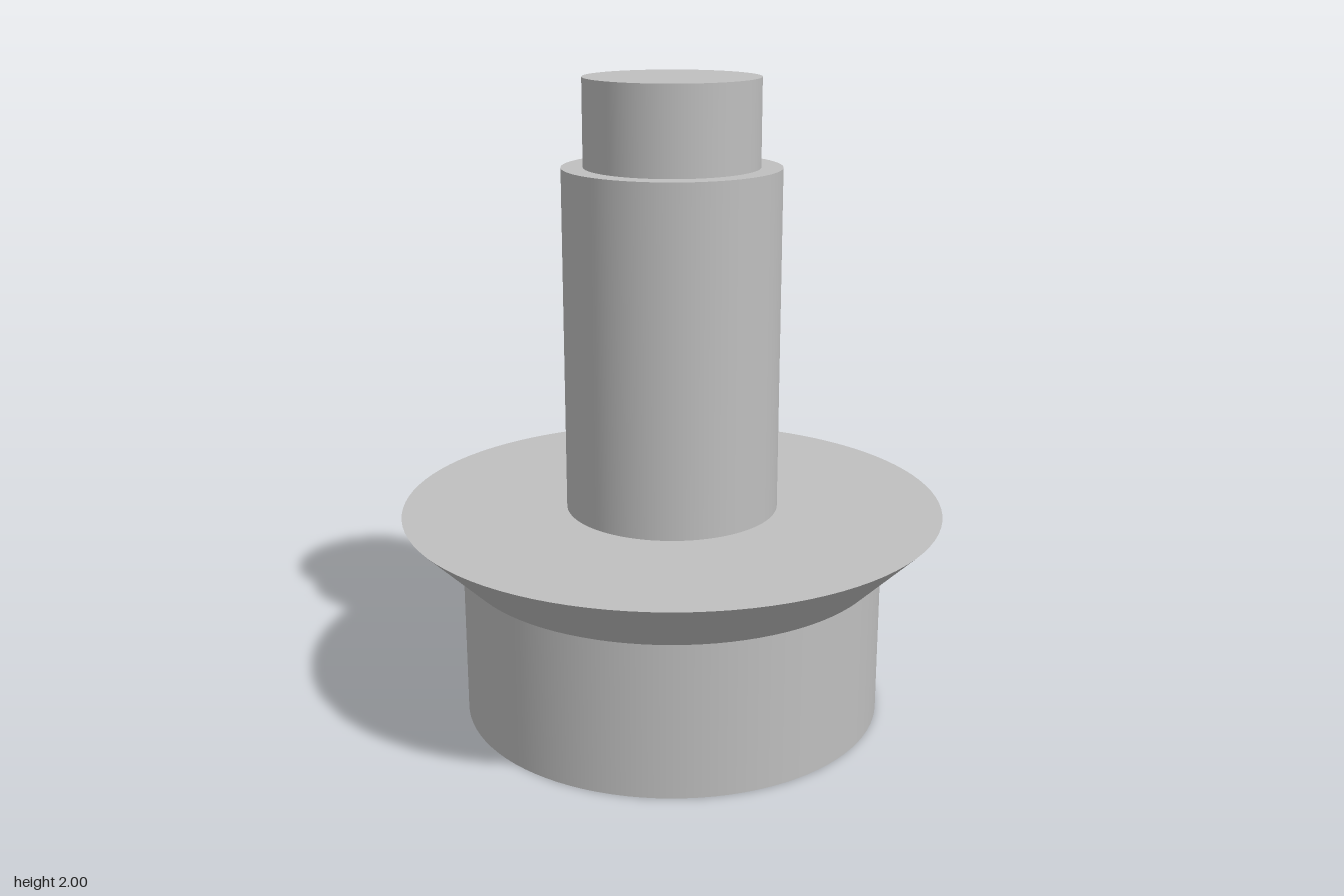
import * as THREE from 'three';

export function createModel() {
  const grey = new THREE.MeshStandardMaterial({ color: 0xbfbfbf });
  grey.name = 'plain grey';
  const model = new THREE.Group();
  model.name = 'steppedPlug';

  // Each part is a chain of [radius, height] points, revolved one straight
  // segment at a time so that every corner stays sharp.
  function turnedPart(name, profile) {
    const part = new THREE.Group();
    part.name = name;
    for (let i = 0; i + 1 < profile.length; i++) {
      const ends = [profile[i], profile[i + 1]].map(([r, y]) => new THREE.Vector2(r, y));
      const face = new THREE.Mesh(new THREE.LatheGeometry(ends, 96), grey);
      face.name = `${name}Face${i + 1}`;
      part.add(face);
    }
    model.add(part);
  }

  // Closed bottom and straight wall
  turnedPart('base', [[0, 0], [0.665, 0], [0.665, 0.485]]);
  // Flared underside and flat top ring
  turnedPart('flange', [[0.665, 0.485], [0.85, 0.667], [0.333, 0.667]]);
  // Main column with its narrow shoulder
  turnedPart('shaft', [[0.333, 0.667], [0.333, 1.735], [0.267, 1.735]]);
  // Narrower closed end
  turnedPart('tip', [[0.267, 1.735], [0.267, 2], [0, 2]]);

  return model;
}
